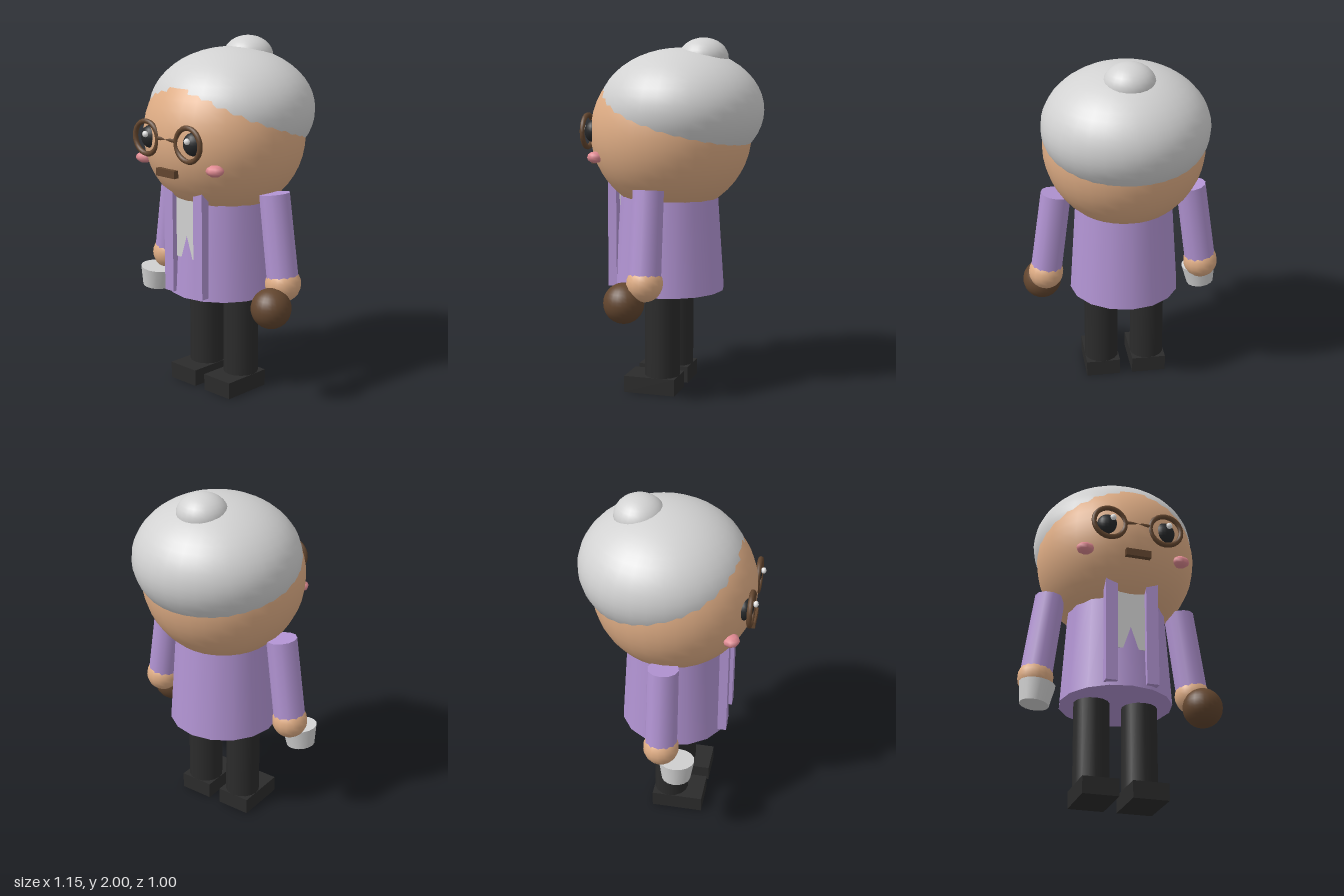
import * as THREE from 'three';

const material = (name, color) => {
  const m = new THREE.MeshStandardMaterial({ color });
  m.name = name;
  return m;
};

export function createModel() {
  const skin = material('skin', 0xdfad85);
  const grey = material('silver grey', 0xd2d2d2);
  const purple = material('lilac cardigan', 0xb294d3);
  const black = material('black trousers', 0x2b2b2b);
  const eyeBlack = material('eye black', 0x26282a);
  const brown = material('dark brown', 0x63462f);
  const pink = material('blush pink', 0xe08a92);
  const white = material('white', 0xffffff);

  // Everything hangs on one axis, slightly off centre because of the held items
  const model = new THREE.Group();
  model.name = 'figure';
  const figure = new THREE.Group();
  figure.name = 'body';
  figure.position.x = -0.009;
  model.add(figure);

  const add = (name, geometry, mat, x, y, z) => {
    const mesh = new THREE.Mesh(geometry, mat);
    mesh.name = name;
    mesh.position.set(x, y, z);
    figure.add(mesh);
    return mesh;
  };
  const ball = (name, mat, [x, y, z], [rx, ry, rz], w = 24, h = 16) =>
    add(name, new THREE.SphereGeometry(1, w, h).scale(rx, ry, rz), mat, x, y, z);
  const box = (name, mat, [x, y, z], [w, h, d]) =>
    add(name, new THREE.BoxGeometry(w, h, d), mat, x, y, z);

  // Head, with the hair as a flattened ball set back so that it forms the hairline
  ball('head', skin, [0, 1.47, 0.02], [0.455, 0.455, 0.455], 32, 24);
  ball('hair', grey, [0, 1.6, -0.04], [0.465, 0.345, 0.465], 32, 24);
  ball('hairBun', grey, [0, 1.887, -0.168], [0.142, 0.113, 0.14]);

  // Mouth and bridge of the glasses
  box('mouth', brown, [0, 1.307, 0.462], [0.142, 0.042, 0.03]);
  const bridge = add('glassesBridge', new THREE.CylinderGeometry(0.013, 0.013, 0.15, 8), brown, 0, 1.49, 0.461);
  bridge.rotation.z = Math.PI / 2;

  // Jacket, shirt front
  add('cardigan', new THREE.CylinderGeometry(0.274, 0.315, 0.605, 16), purple, 0, 0.8775, 0.03);
  box('shirtFront', grey, [0, 0.975, 0.296], [0.18, 0.35, 0.05]);

  // Mirrored parts: s = 1 is the model's left
  for (const s of [-1, 1]) {
    const side = s > 0 ? 'left' : 'right';
    ball(side + 'Eye', eyeBlack, [s * 0.165, 1.48, 0.425], [0.06, 0.064, 0.05], 16, 12);
    ball(side + 'EyeHighlight', white, [s * 0.162 + 0.015, 1.503, 0.483], [0.018, 0.018, 0.015], 8, 6);
    add(side + 'GlassesRim', new THREE.TorusGeometry(0.09, 0.0145, 8, 24), brown, s * 0.162, 1.48, 0.461);
    ball(side + 'Cheek', pink, [s * 0.276, 1.344, 0.376], [0.052, 0.032, 0.047], 8, 6);

    box(side + 'CardiganEdge', purple, [s * 0.115, 0.895, 0.325], [0.068, 0.6, 0.05]);

    const arm = add(side + 'Arm', new THREE.CylinderGeometry(0.086, 0.09, 0.5, 12), purple, s * 0.421, 0.938, 0.03);
    arm.rotation.z = s * 0.14;
    ball(side + 'Hand', skin, [s * 0.456, 0.688, 0.03], [0.1, 0.1, 0.1], 16, 12);

    add(side + 'Leg', new THREE.CylinderGeometry(0.1, 0.1, 0.52, 16), black, s * 0.137, 0.345, 0.03);
    box(side + 'Shoe', black, [s * 0.137, 0.0475, 0.08], [0.2, 0.095, 0.297]);
  }

  // Cup by the right hand, yarn-like ball by the left hand
  const cup = add('cup', new THREE.CylinderGeometry(0.1, 0.08, 0.118, 16), grey, -0.472, 0.556, 0.12);
  cup.rotation.z = -0.12;
  ball('heldBall', brown, [0.472, 0.577, 0.144], [0.112, 0.112, 0.112]);

  return model;
}
